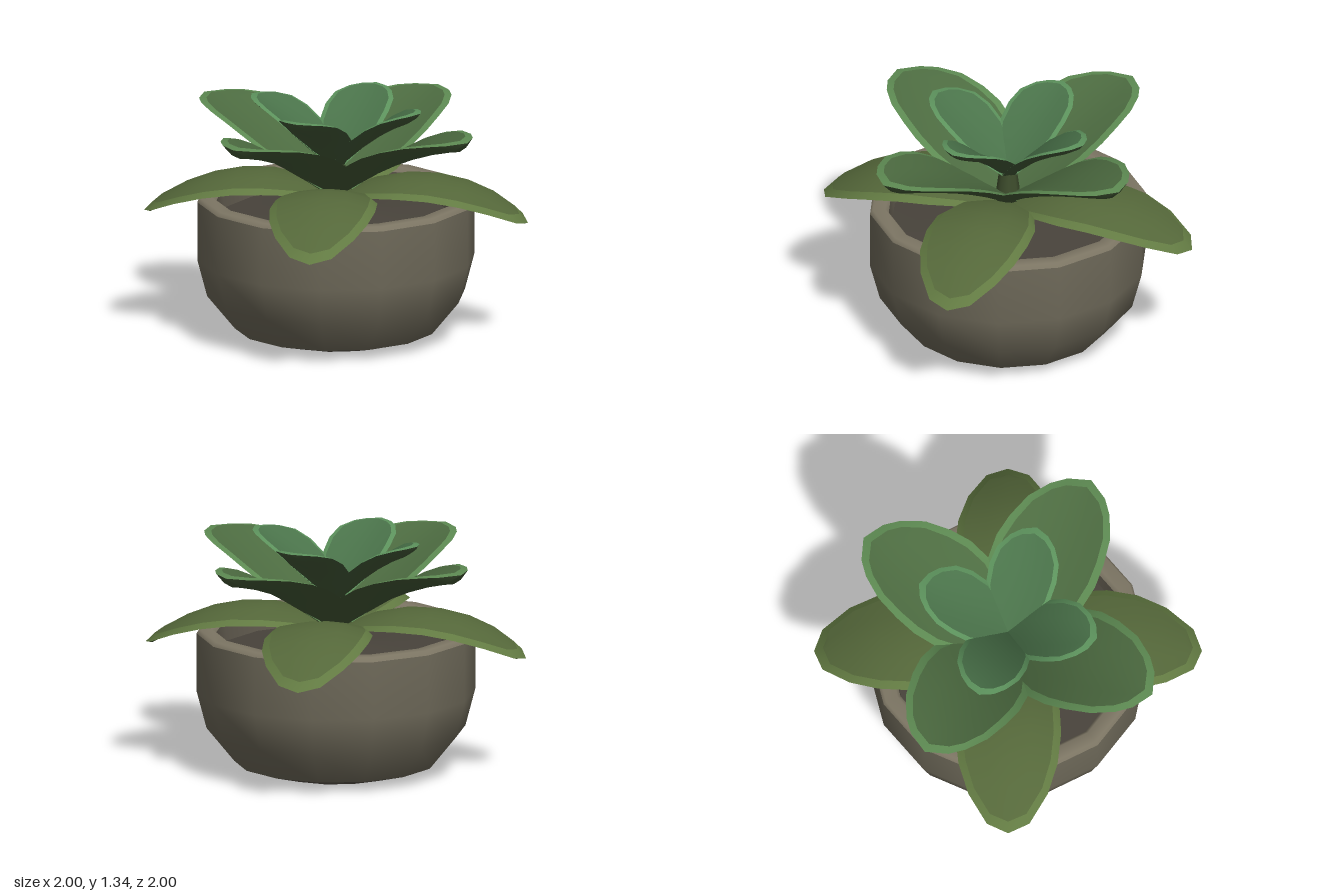
import * as THREE from 'three';

const SIDES = 14;

function part(name, geometry, color) {
  const mesh = new THREE.Mesh(geometry, new THREE.MeshStandardMaterial({ color, side: THREE.DoubleSide }));
  mesh.name = name;
  return mesh;
}

// Revolved profile, given as [radius, height] pairs from bottom to top
function turned(name, profile, color) {
  const points = profile.map(([r, y]) => new THREE.Vector2(r, y));
  return part(name, new THREE.LatheGeometry(points, SIDES, THREE.MathUtils.degToRad(5.1)), color);
}

// Smooth surface through rows of points
function grid(rows, flip = false) {
  const cols = rows[0].length;
  const index = [];
  for (let i = 0; i < rows.length - 1; i++) {
    for (let j = 0; j < cols - 1; j++) {
      const a = i * cols + j, b = a + 1, c = a + cols, d = c + 1;
      if (flip) index.push(a, c, b, b, c, d);
      else index.push(a, b, c, b, d, c);
    }
  }
  const geometry = new THREE.BufferGeometry().setFromPoints(rows.flat());
  geometry.setIndex(index);
  geometry.computeVertexNormals();
  return geometry;
}

// One leaf along +x: outline holds [distance, half width]; the surface is
// base + a*r + b*r^2 along its length, cupped (or arched) across its width
function makeLeaf({ outline, base, a, b, cup, thick, colors, inset }) {
  const across = [-1, -0.5, 0, 0.5, 1];
  const length = outline[outline.length - 1][0];
  const height = (r, v) => base + a * r + b * r * r + cup * v * v;
  const inner = outline.map(([r, w]) => [r - inset * (r / length) ** 4, w * 0.86]);

  const top = inner.map(([r, w]) => across.map(t => new THREE.Vector3(r, height(r, t * w), t * w)));
  const under = outline.map(([r, w]) => across.map(t => {
    const belly = thick * (1 - t * t) * Math.min(1, w / 0.12);
    return new THREE.Vector3(r, height(r, t * w) - 0.015 - belly, t * w);
  }));

  // Bevelled border running from the base round the tip and back
  const border = (i, t) => {
    const [r, w] = outline[i], [ri, wi] = inner[i];
    return [new THREE.Vector3(r, height(r, w) - 0.015, t * w), new THREE.Vector3(ri, height(ri, wi), t * wi)];
  };
  const rim = outline.map((_, i) => border(i, -1));
  for (let i = outline.length - 2; i >= 0; i--) rim.push(border(i, 1));

  const leaf = new THREE.Group();
  leaf.add(
    part('leafBlade', grid(top), colors[0]),
    part('leafRim', grid(rim), colors[1]),
    part('leafUnderside', grid(under, true), colors[2]),
  );
  return leaf;
}

const TIERS = [
  {
    name: 'lowerLeaf', angle: 22, base: 0.81, a: 0.55, b: -0.604, cup: -0.6, thick: 0.03, inset: 0.05,
    outline: [[0.02, 0.1], [0.2, 0.22], [0.38, 0.285], [0.55, 0.295], [0.72, 0.275], [0.88, 0.22], [1.03, 0.118], [1.077, 0]],
    colors: [0x55683a, 0x627a42, 0x445632],
  },
  {
    name: 'middleLeaf', angle: 52, base: 0.85, a: 0.755, b: -0.326, cup: 0.55, thick: 0.05, inset: 0.05,
    outline: [[0.02, 0.1], [0.15, 0.22], [0.3, 0.3], [0.42, 0.315], [0.54, 0.3], [0.68, 0.262], [0.8, 0.19], [0.87, 0.12], [0.926, 0]],
    colors: [0x4d6c41, 0x5d8a52, 0x445a36],
  },
  {
    name: 'upperLeaf', angle: 40, base: 1, a: 1.06, b: -0.745, cup: 0.9, thick: 0.04, inset: 0.04,
    outline: [[0, 0.05], [0.08, 0.13], [0.17, 0.185], [0.27, 0.195], [0.36, 0.18], [0.44, 0.13], [0.49, 0.075], [0.52, 0]],
    colors: [0x4a734a, 0x5c925c, 0x445a38],
  },
];

export function createModel() {
  const model = new THREE.Group();
  model.name = 'pottedSucculent';

  // Bowl-shaped pot
  const pot = new THREE.Group();
  pot.name = 'pot';
  pot.add(
    turned('potBase', [[0, 0], [0.35, 0], [0.565, 0.06]], 0x5c564c),
    turned('potBody', [[0.565, 0.06], [0.72, 0.25], [0.775, 0.46], [0.775, 0.79]], 0x6f6a5a),
    turned('potLip', [[0.775, 0.79], [0.76, 0.815], [0.69, 0.815], [0.67, 0.79]], 0x7d7664),
    turned('potInside', [[0.67, 0.79], [0.655, 0.66]], 0x5f594d),
    turned('soil', [[0.66, 0.68], [0.35, 0.7], [0, 0.74]], 0x48433b),
  );
  model.add(pot);

  // Hidden core joining the leaf bases
  const stem = part('stem', new THREE.CylinderGeometry(0.05, 0.09, 0.3, 8), 0x3d4c2c);
  stem.position.y = 0.85;
  model.add(stem);

  // Three rosettes of four leaves
  for (const tier of TIERS) {
    for (let k = 0; k < 4; k++) {
      const leaf = makeLeaf(tier);
      leaf.name = tier.name;
      leaf.rotation.y = -THREE.MathUtils.degToRad(tier.angle + 90 * k);
      model.add(leaf);
    }
  }
  return model;
}
